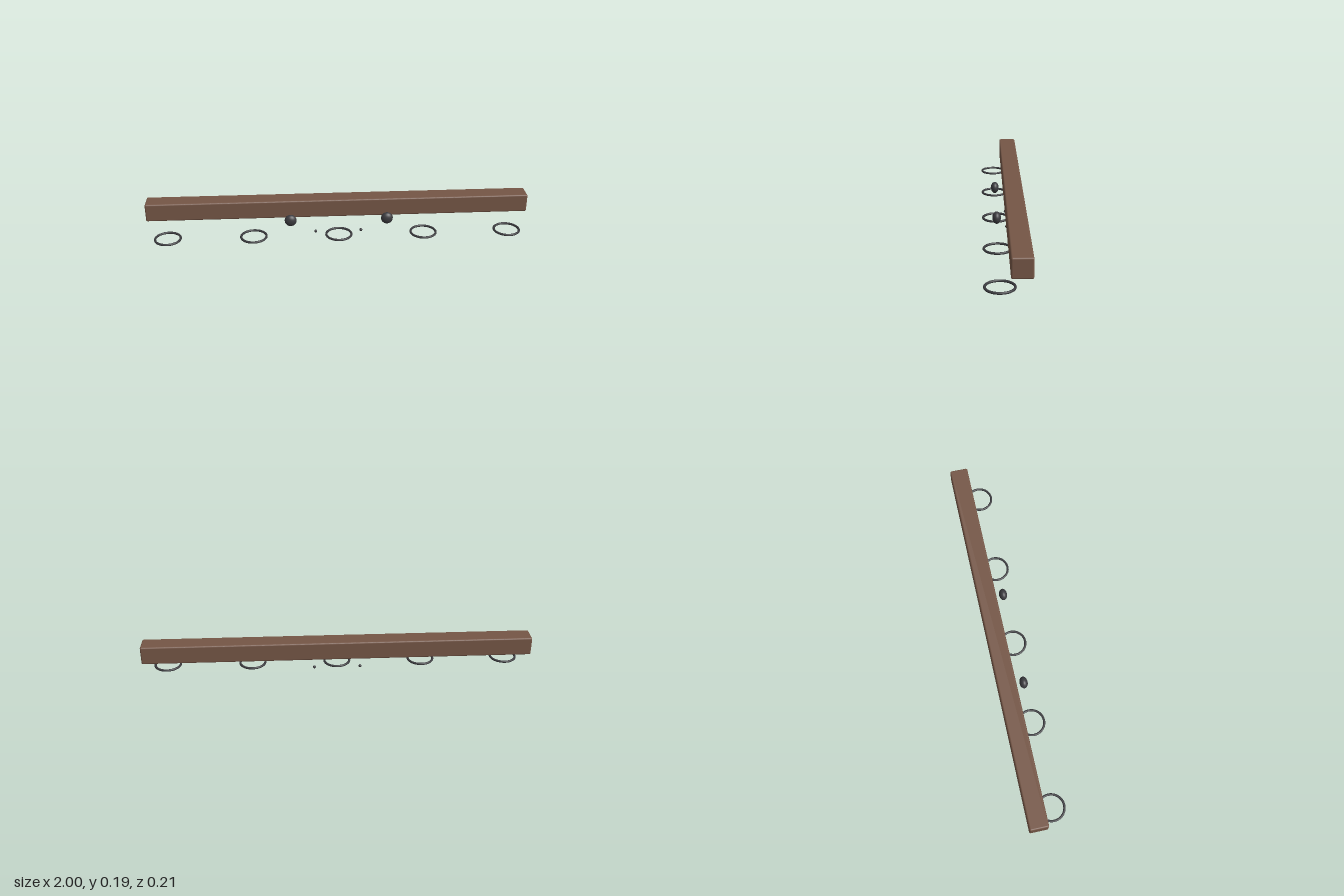
import * as THREE from 'three';
import { RoundedBoxGeometry } from 'three/addons/geometries/RoundedBoxGeometry.js';

export function createModel() {
  const model = new THREE.Group();
  const wood = new THREE.MeshStandardMaterial({ color: 0x755646 });
  wood.name = 'brown wood';
  const iron = new THREE.MeshStandardMaterial({ color: 0x3b3b3f });
  iron.name = 'dark iron';

  const add = (name, geometry, material, x, y, z) => {
    const mesh = new THREE.Mesh(geometry, material);
    mesh.name = name;
    mesh.position.set(x, y, z);
    model.add(mesh);
    return mesh;
  };

  // Long beam with softened edges
  add('beam', new RoundedBoxGeometry(2, 0.096, 0.096, 4, 0.008), wood, 0, 0.144, -0.057);

  // Row of five flat rings
  const ringGeometry = new THREE.TorusGeometry(0.066, 0.006, 12, 48).rotateX(Math.PI / 2);
  for (let i = -2; i <= 2; i++) add('ring', ringGeometry, iron, i * 0.445, 0.0155, 0.034);

  // Mirrored pairs of flattened knobs and small beads
  const knobGeometry = new THREE.SphereGeometry(0.031, 24, 16).scale(1, 1, 0.69);
  const beadGeometry = new THREE.SphereGeometry(0.008, 16, 12);
  for (const side of [-1, 1]) {
    const label = side > 0 ? 'left' : 'right';
    add(label + 'Knob', knobGeometry, iron, side * 0.251, 0.103, 0.034);
    add(label + 'Bead', beadGeometry, iron, side * 0.12, 0.008, -0.02);
  }
  return model;
}
